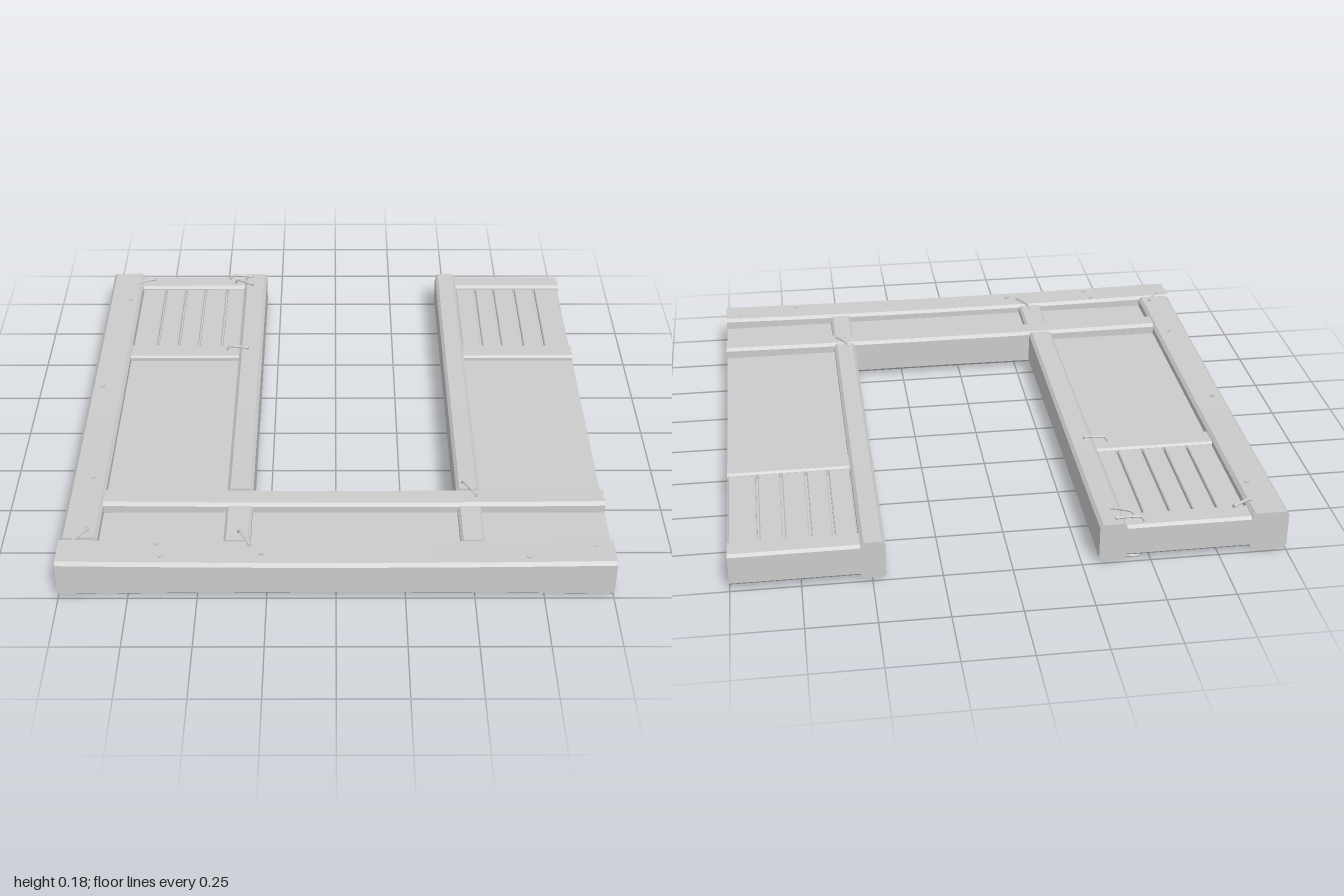
import * as THREE from 'three';

const material = new THREE.MeshStandardMaterial({ color: 0xcccccc, flatShading: true });
const MID = 0.097; // middle height of the frame

function add(parent, name, geometry) {
  const mesh = new THREE.Mesh(geometry, material);
  mesh.name = name;
  parent.add(mesh);
  return mesh;
}

// Chamfered timber filling x0..x1, z0..z1, y0..y1; its thickness narrows by `waist` at mid-length
function timber(parent, name, [x0, x1], [z0, z1], [y0, y1], chamfer = 0.01, waist = 0) {
  const alongX = x1 - x0 > z1 - z0;
  const length = alongX ? x1 - x0 : z1 - z0;
  const w = (alongX ? z1 - z0 : x1 - x0) / 2;
  const h = (y1 - y0) / 2;
  const c = chamfer;
  const section = new THREE.Shape([
    [-w + c, -h], [w - c, -h], [w, -h + c], [w, h - c],
    [w - c, h], [-w + c, h], [-w, h - c], [-w, -h + c],
  ].map(([x, y]) => new THREE.Vector2(x, y)));
  const g = new THREE.ExtrudeGeometry(section, { depth: length, steps: waist ? 12 : 1, bevelEnabled: false });
  g.translate(0, 0, -length / 2);
  const p = g.attributes.position;
  for (let i = 0; i < p.count; i++) {
    const t = p.getZ(i) / (length / 2);
    p.setY(i, p.getY(i) - Math.sign(p.getY(i)) * waist * (1 - t * t));
  }
  if (alongX) g.rotateY(Math.PI / 2);
  g.translate((x0 + x1) / 2, (y0 + y1) / 2, (z0 + z1) / 2);
  g.computeVertexNormals();
  return add(parent, name, g);
}

// Row of boards running along z, separated by narrow grooves at the given x positions
function planks(parent, name, edges, z) {
  const gap = 0.004;
  for (let i = 0; i < edges.length - 1; i++) {
    timber(parent, name, [edges[i] + gap, edges[i + 1] - gap], z, [0.062, 0.143], 0.004);
  }
  timber(parent, name + 'Backing', [edges[0], edges[edges.length - 1]], z, [0.08, 0.125], 0.001);
}

export function createModel() {
  const model = new THREE.Group();

  // Main frame timbers
  const frame = new THREE.Group();
  frame.name = 'frame';
  model.add(frame);
  timber(frame, 'frontBeam', [-1, 1], [0.858, 1], [0.018, 0.174], 0.012, 0.009);
  timber(frame, 'outerBeam', [-1, -0.864], [-1, 0.856], [0.018, 0.172], 0.012, 0.005);
  timber(frame, 'crossBeam', [-0.864, 1], [0.568, 0.662], [0.018, 0.174], 0.012, 0.006);
  for (const [x0, x1] of [[-0.408, -0.31], [0.452, 0.54]]) {
    timber(frame, 'innerBeam', [x0, x1], [-1, 0.568], [0.022, 0.17], 0.012, 0.003);
    timber(frame, 'shortBeam', [x0, x1], [0.662, 0.858], [0.03, 0.162], 0.01);
  }

  // Sunken panels, battens and planked ends of both legs
  const legs = [
    { x: [-0.866, -0.406], edges: [-0.866, -0.76, -0.67, -0.584, -0.487, -0.406] },
    { x: [0.538, 1], edges: [0.538, 0.625, 0.707, 0.8, 0.89, 1] },
  ];
  for (const leg of legs) {
    const panels = new THREE.Group();
    panels.name = 'legInfill';
    model.add(panels);
    timber(panels, 'panel', leg.x, [-0.36, 0.575], [0.045, 0.13], 0.001);
    timber(panels, 'midBatten', leg.x, [-0.445, -0.353], [0.052, 0.152], 0.008);
    planks(panels, 'plank', leg.edges, [-0.91, -0.444]);
    timber(panels, 'endBatten', leg.x, [-1, -0.908], [0.032, 0.158], 0.01);
  }
  timber(model, 'frontPanel', [-0.866, 1], [0.655, 0.862], [0.05, 0.13], 0.001);

  // Loose bent spikes and nail heads on both faces
  const spikes = [ // x, z, turn, length
    [-0.85, -0.925, 0.5, 0.09], [-0.425, -0.97, -0.05, 0.1], [-0.41, -0.92, -0.5, 0.09],
    [-0.415, -0.388, -0.12, 0.09], [0.5, 0.572, -1.05, 0.1],
    [-0.93, 0.852, 1.0, 0.1], [-0.333, 0.858, -1.1, 0.1],
  ];
  const nails = [
    [-0.905, -0.78], [-0.953, -0.108], [-0.92, 0.5], [-0.647, 0.888],
    [-0.627, 0.955], [-0.267, 0.94], [0.69, 0.96], [0.937, 0.903],
  ];
  for (const side of [1, -1]) {
    const hardware = new THREE.Group();
    hardware.name = side > 0 ? 'topHardware' : 'bottomHardware';
    hardware.position.y = MID;
    model.add(hardware);
    for (const [x, z, turn, length] of spikes) {
      const l = length / 2;
      const path = new THREE.CatmullRomCurve3([
        new THREE.Vector3(-l, -0.012, 0), new THREE.Vector3(-l * 0.8, 0.006, 0),
        new THREE.Vector3(0, 0.009, 0), new THREE.Vector3(l, 0.006, 0),
      ].map((v) => v.setY(v.y * side)));
      const spike = add(hardware, 'bentSpike', new THREE.TubeGeometry(path, 8, 0.0055, 6));
      spike.position.set(x, side * 0.074, z);
      spike.rotation.y = turn;
      const tip = add(spike, 'spikeHead', new THREE.CylinderGeometry(0.008, 0.008, 0.007, 7));
      tip.rotation.z = Math.PI / 2;
      tip.position.set(l, side * 0.006, 0);
    }
    for (const [x, z] of nails) {
      const nail = add(hardware, 'nailHead', new THREE.CylinderGeometry(0.009, 0.009, 0.014, 7));
      nail.position.set(x, side * 0.071, z);
    }
  }
  return model;
}
